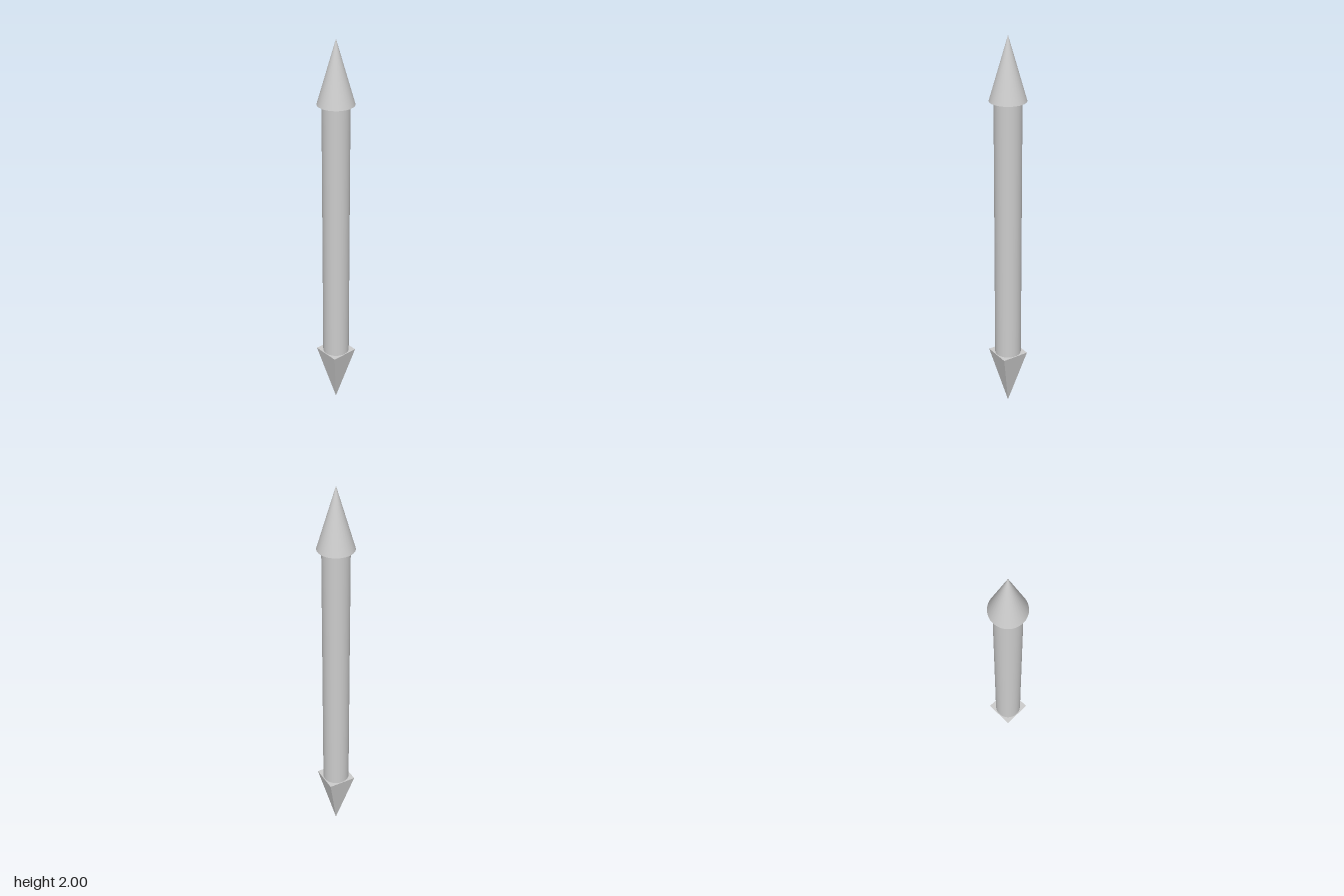
import * as THREE from 'three';

export function createModel() {
  const group = new THREE.Group();
  const smooth = new THREE.MeshStandardMaterial({ color: 0xcccccc });
  const faceted = new THREE.MeshStandardMaterial({ color: 0xcccccc, flatShading: true });

  const tipHeight = 0.312;
  const shaftLength = 2 - 2 * tipHeight;

  const add = (name, geometry, material, y) => {
    const mesh = new THREE.Mesh(geometry, material);
    mesh.name = name;
    mesh.position.y = y;
    group.add(mesh);
  };

  // Round shaft between the two tips
  add('shaft', new THREE.CylinderGeometry(0.068, 0.068, shaftLength, 32), smooth, 1);

  // Round cone pointing up, wider than the shaft
  add('upperTip', new THREE.ConeGeometry(0.091, tipHeight, 32), smooth, 2 - tipHeight / 2);

  // Square pyramid pointing down, sides facing the axes
  const pyramid = new THREE.ConeGeometry(0.072 * Math.SQRT2, tipHeight, 4);
  pyramid.rotateY(Math.PI / 4).rotateX(Math.PI);
  add('lowerTip', pyramid, faceted, tipHeight / 2);

  return group;
}
